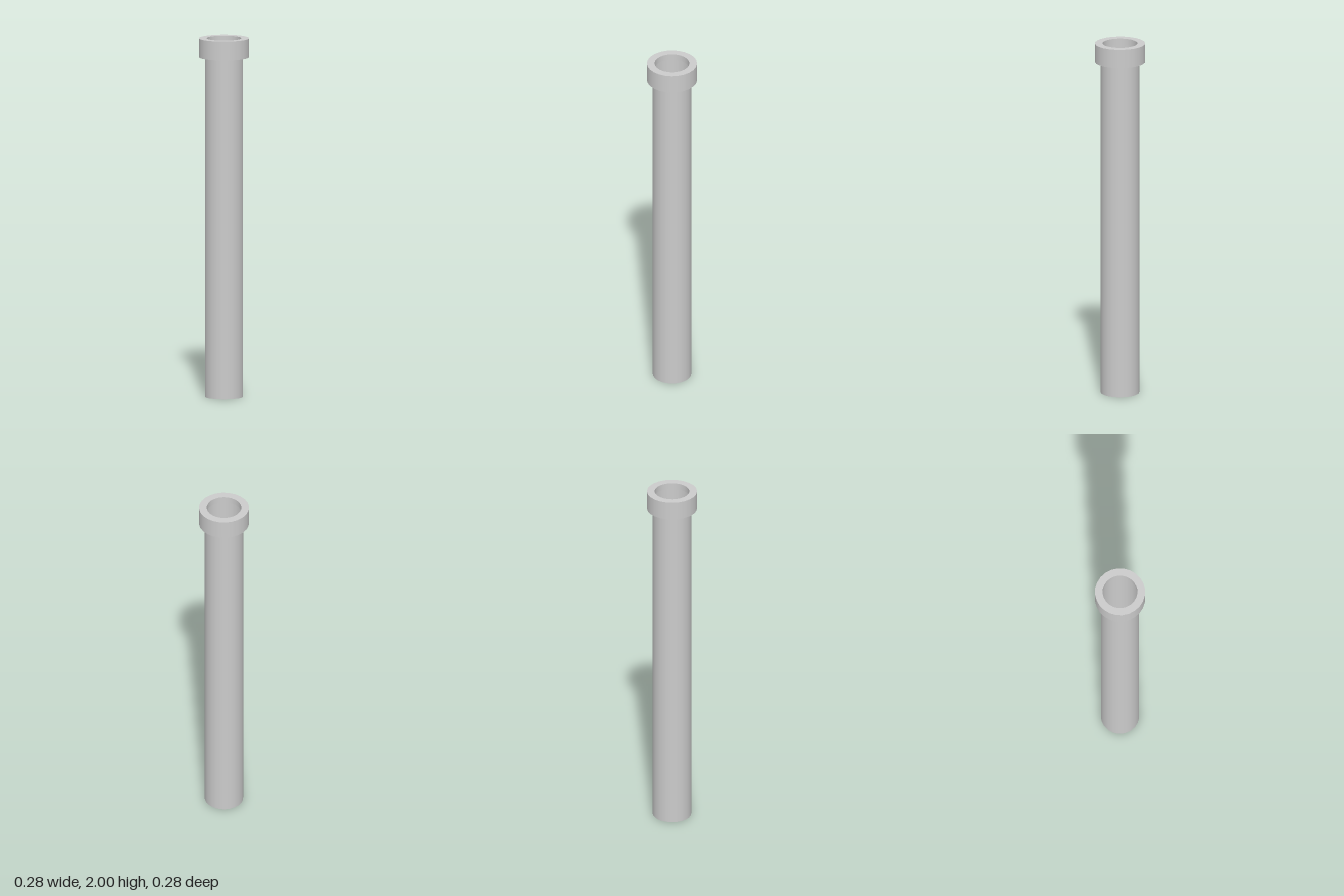
import * as THREE from 'three';
import { mergeGeometries } from 'three/addons/utils/BufferGeometryUtils.js';

const SIDES = 24;
const PIPE_R = 0.107, COLLAR_R = 0.139, BORE_R = 0.097;
const TOP = 2, COLLAR_BOTTOM = 1.895, LIP_BOTTOM = 1.965;

// Revolve each profile segment separately so the rims stay crisp
function revolve(profile) {
  const bands = [];
  for (let i = 0; i < profile.length - 1; i++) {
    const pair = [profile[i], profile[i + 1]].map(([r, y]) => new THREE.Vector2(r, y));
    bands.push(new THREE.LatheGeometry(pair, SIDES));
  }
  return mergeGeometries(bands);
}

export function createModel() {
  const group = new THREE.Group();
  group.name = 'collaredPipe';
  const material = new THREE.MeshStandardMaterial({ color: 0xcccccc, side: THREE.DoubleSide });

  function add(name, profile) {
    const mesh = new THREE.Mesh(revolve(profile), material);
    mesh.name = name;
    group.add(mesh);
  }

  // Thin-walled tube, open at the bottom and running up to the lip
  add('pipe', [[PIPE_R, 0], [PIPE_R, LIP_BOTTOM]]);

  // Wider collar with a flat top and a short inner lip
  add('collar', [
    [PIPE_R, COLLAR_BOTTOM],
    [COLLAR_R, COLLAR_BOTTOM],
    [COLLAR_R, TOP],
    [BORE_R, TOP],
    [BORE_R, LIP_BOTTOM],
    [PIPE_R, LIP_BOTTOM],
  ]);

  return group;
}
